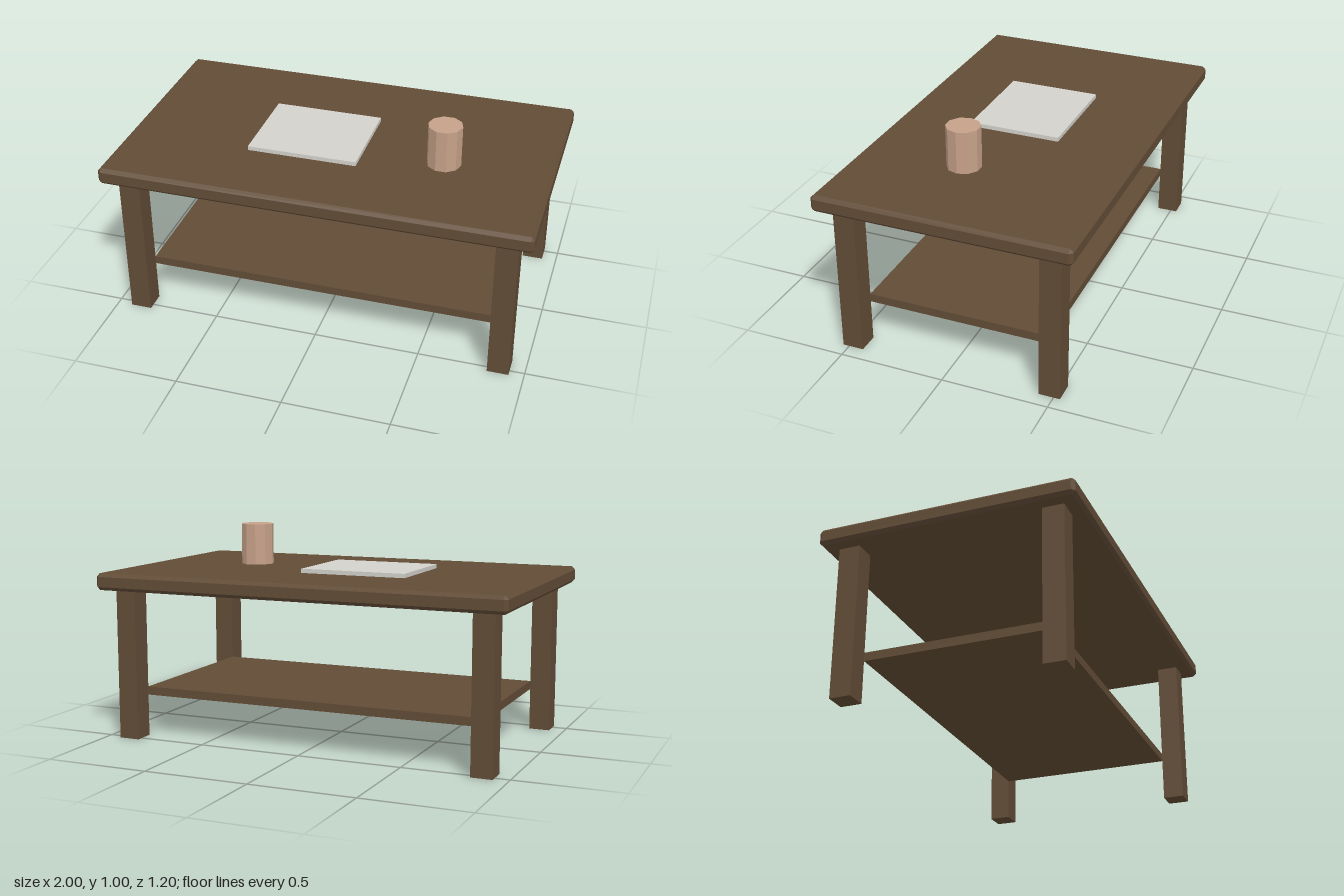
import * as THREE from 'three';
import { ConvexGeometry } from 'three/addons/geometries/ConvexGeometry.js';

const material = (name, color) => {
  const m = new THREE.MeshStandardMaterial({ color, flatShading: true });
  m.name = name;
  return m;
};

// Box with every edge and corner cut by c
function chamferedBox(w, h, d, c) {
  const points = [];
  const [x, y, z] = [w / 2, h / 2, d / 2];
  for (const sx of [-1, 1]) for (const sy of [-1, 1]) for (const sz of [-1, 1]) {
    points.push(
      new THREE.Vector3(sx * x, sy * (y - c), sz * (z - c)),
      new THREE.Vector3(sx * (x - c), sy * y, sz * (z - c)),
      new THREE.Vector3(sx * (x - c), sy * (y - c), sz * z));
  }
  return new ConvexGeometry(points);
}

export function createModel() {
  const group = new THREE.Group();
  group.name = 'coffeeTable';
  const wood = material('darkWood', 0x624c36);
  const paper = material('paper', 0xd2d1cb);
  const clay = material('clay', 0xc6a189);

  const add = (name, geometry, mat, x, y, z) => {
    const mesh = new THREE.Mesh(geometry, mat);
    mesh.name = name;
    mesh.position.set(x, y, z);
    group.add(mesh);
    return mesh;
  };

  // Table top with bevelled edges
  add('tableTop', chamferedBox(2, 0.08, 1.2, 0.016), wood, 0, 0.76, 0);

  // Four square legs
  const leg = new THREE.BoxGeometry(0.1, 0.72, 0.1);
  for (const sx of [-1, 1]) for (const sz of [-1, 1]) {
    add((sz > 0 ? 'front' : 'back') + (sx > 0 ? 'Left' : 'Right') + 'Leg',
      leg, wood, sx * 0.88, 0.36, sz * 0.48);
  }

  // Lower shelf reaching the inner corners of the legs
  add('shelf', new THREE.BoxGeometry(1.66, 0.04, 0.86), wood, 0, 0.22, 0);

  // Objects on the table
  add('magazine', new THREE.BoxGeometry(0.52, 0.02, 0.44), paper, -0.14, 0.81, 0.02);
  add('cup', new THREE.CylinderGeometry(0.08, 0.08, 0.2, 10), clay, 0.5, 0.9, 0.1)
    .rotation.y = Math.PI / 2;

  return group;
}
